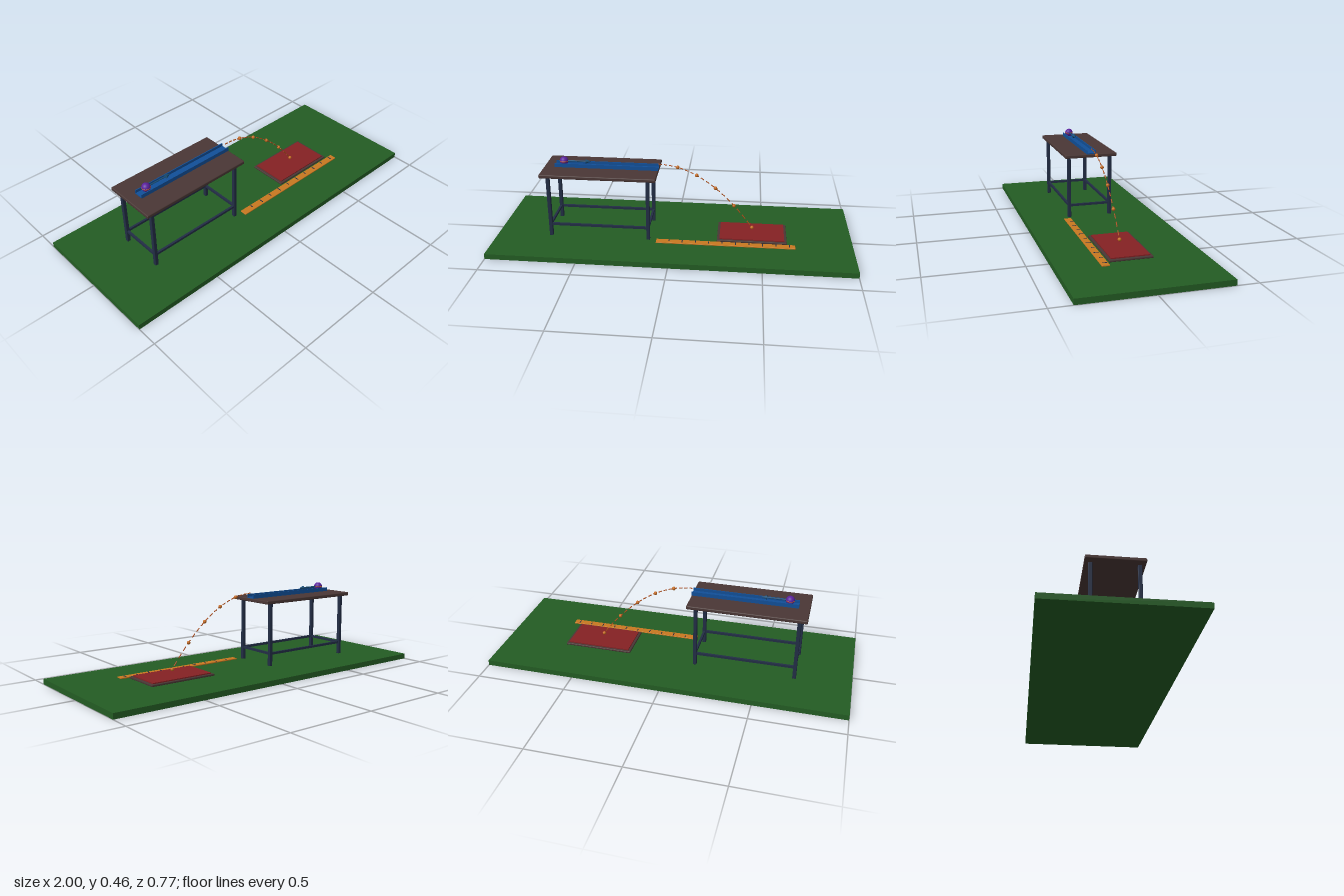
import * as THREE from 'three';
import { RoundedBoxGeometry } from 'three/addons/geometries/RoundedBoxGeometry.js';

const mat = (name, color) => {
  const m = new THREE.MeshStandardMaterial({ color });
  m.name = name;
  return m;
};

export function createModel() {
  const model = new THREE.Group();
  model.name = 'projectileExperiment';

  const green = mat('floor green', 0x235c23);
  const brown = mat('dark wood', 0x4a3735);
  const navy = mat('navy steel', 0x222d45);
  const blue = mat('track blue', 0x114f98);
  const purple = mat('ball purple', 0x5a209c);
  const orange = mat('marker orange', 0xc46a20);
  const rust = mat('path rust', 0xb4521c);
  const red = mat('mat red', 0x852123);
  const teal = mat('arrow teal', 0x1a5078);
  const amber = mat('ruler amber', 0xc87820);

  const add = (name, geometry, material, x, y, z, parent = model) => {
    const mesh = new THREE.Mesh(geometry, material);
    mesh.name = name;
    mesh.position.set(x, y, z);
    parent.add(mesh);
    return mesh;
  };
  // Box given by its min and max on each axis, optionally rounded
  const box = (name, material, [x0, x1], [y0, y1], [z0, z1], r = 0, parent = model) => {
    const size = [x1 - x0, y1 - y0, z1 - z0];
    const geometry = r ? new RoundedBoxGeometry(...size, 2, r) : new THREE.BoxGeometry(...size);
    return add(name, geometry, material, (x0 + x1) / 2, (y0 + y1) / 2, (z0 + z1) / 2, parent);
  };
  const group = (name) => {
    const g = new THREE.Group();
    g.name = name;
    model.add(g);
    return g;
  };

  // Ground slab
  box('floor', green, [-1, 1], [0, 0.03], [-0.385, 0.385]);

  // Table: top, four legs and a ring of stretchers
  const table = group('table');
  box('tableTop', brown, [-0.735, -0.09], [0.388, 0.408], [-0.152, 0.152], 0.005, table);
  const legX = [-0.692, -0.137], legZ = 0.122;
  for (const x of legX) {
    for (const s of [-1, 1]) {
      box('tableLeg', navy, [x - 0.01, x + 0.01], [0.03, 0.388], [s * legZ - 0.01, s * legZ + 0.01], 0.003, table);
    }
    box('endStretcher', navy, [x - 0.006, x + 0.006], [0.094, 0.107], [-legZ, legZ], 0, table);
  }
  for (const s of [-1, 1]) {
    box('longStretcher', navy, legX, [0.094, 0.107], [s * legZ - 0.006, s * legZ + 0.006], 0, table);
  }

  // Launch track: a floor with a rail down each side
  const track = group('launchTrack');
  box('trackFloor', blue, [-0.675, -0.09], [0.408, 0.414], [-0.027, 0.027], 0, track);
  for (const s of [-1, 1]) {
    box('trackRail', blue, [-0.675, -0.09], [0.414, 0.43], [s * 0.0245 - 0.0025, s * 0.0245 + 0.0025], 0, track);
  }

  // Ball with a band round its equator
  const ball = group('launchBall');
  ball.position.set(-0.625, 0.438, 0);
  add('ballBody', new THREE.SphereGeometry(0.024, 28, 18), purple, 0, 0, 0, ball);
  const band = add('ballBand', new THREE.TorusGeometry(0.0222, 0.0028, 8, 32), orange, 0, 0, 0, ball);
  band.rotation.x = Math.PI / 2;

  // Velocity arrow pointing along the track
  const arrow = group('velocityArrow');
  arrow.position.set(0, 0.438, 0);
  const shaft = add('arrowShaft', new THREE.CylinderGeometry(0.004, 0.004, 0.105, 12), teal, -0.5525, 0, 0, arrow);
  const head = add('arrowHead', new THREE.ConeGeometry(0.012, 0.03, 16), teal, -0.485, 0, 0, arrow);
  shaft.rotation.z = head.rotation.z = -Math.PI / 2;

  // Falling path: dashes and position markers on a parabola
  const flight = group('flightPath');
  const at = (t) => new THREE.Vector3(-0.09 + 0.532 * t, 0.438 - 0.366 * t * t, 0);
  const up = new THREE.Vector3(0, 1, 0);
  const dashes = 18;
  for (let i = 0; i < dashes; i++) {
    const a = at(i / dashes), b = at((i + 0.6) / dashes);
    const mid = a.clone().add(b).multiplyScalar(0.5);
    const dir = b.clone().sub(a);
    const dash = add('pathDash', new THREE.CylinderGeometry(0.003, 0.003, dir.length(), 8), rust, mid.x, mid.y, 0, flight);
    dash.quaternion.setFromUnitVectors(up, dir.normalize());
  }
  for (let i = 1; i <= 5; i++) {
    const p = at(i / 5);
    add('pathMarker', new THREE.SphereGeometry(0.01, 18, 12), orange, p.x, p.y, 0, flight);
  }

  // Landing mat with a raised centre
  box('matFrame', brown, [0.248, 0.637], [0.03, 0.041], [-0.115, 0.115], 0.003);
  box('matCentre', red, [0.262, 0.623], [0.041, 0.047], [-0.102, 0.102]);

  // Ruler with alternating long and short ticks
  const ruler = group('ruler');
  box('rulerBody', amber, [-0.09, 0.682], [0.03, 0.037], [0.124, 0.165], 0.002, ruler);
  for (let i = 0; i < 10; i++) {
    const x = -0.018 + i * 0.0742, length = i % 2 ? 0.026 : 0.018;
    box('rulerTick', navy, [x - 0.0025, x + 0.0025], [0.037, 0.0385], [0.129, 0.129 + length], 0, ruler);
  }

  return model;
}
